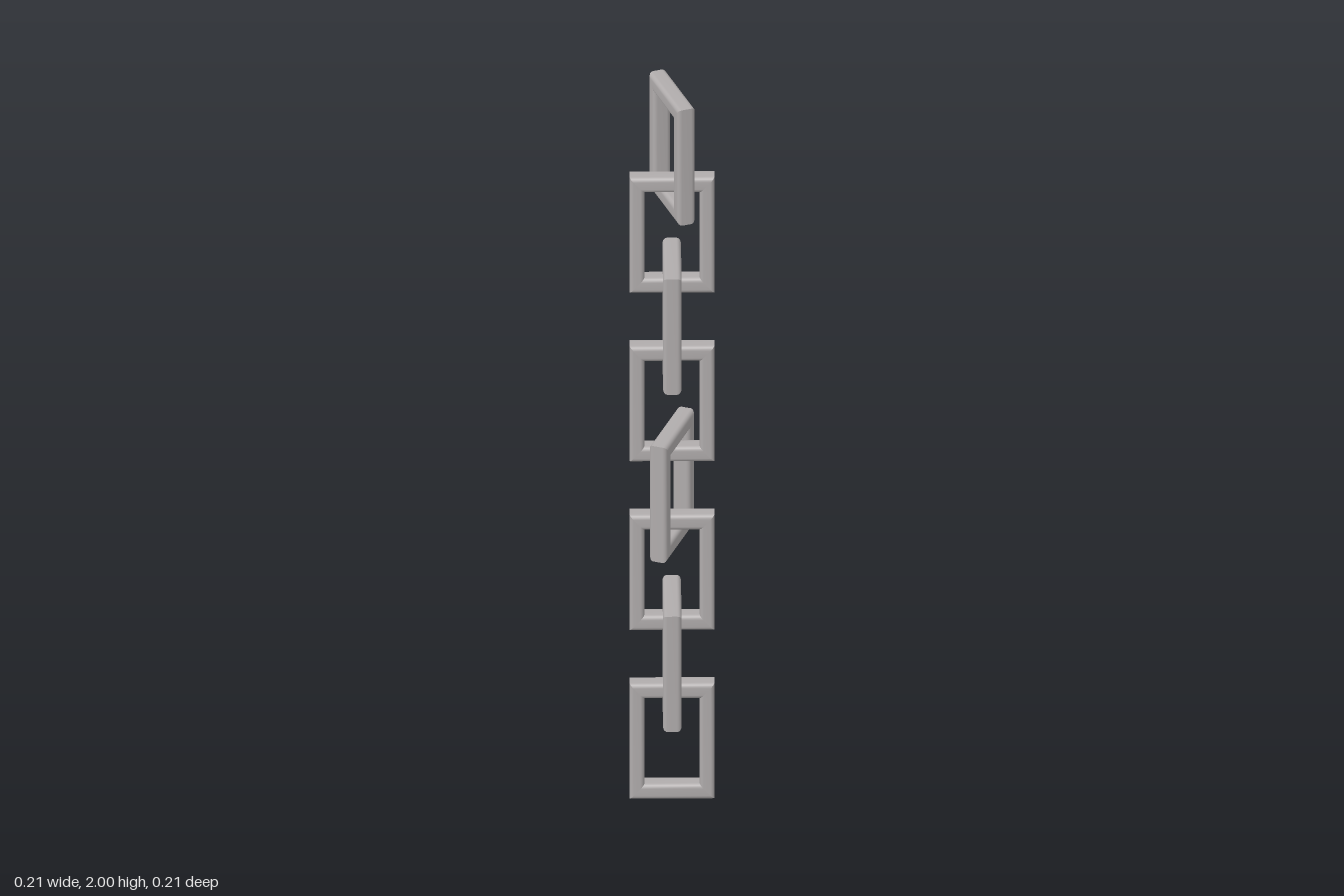
import * as THREE from 'three';

const LINKS = 8, PITCH = 0.239;
const OUTER = [0.105, 0.1635]; // half width and half height of a link
const INNER = [0.068, 0.121]; // half width and half height of its opening
const HALF_DEPTH = 0.023;

// Rounded bar section: u runs from the opening (0) to the outside (1), z is depth
function barSection() {
  const ru = 0.27, rz = 0.011, steps = 4, points = [];
  [[1, 1], [-1, 1], [-1, -1], [1, -1]].forEach(([su, sz], quarter) => {
    for (let i = 0; i <= steps; i++) {
      const a = (quarter + i / steps) * Math.PI / 2;
      points.push({
        u: 0.5 + su * (0.5 - ru) + ru * Math.cos(a),
        z: sz * (HALF_DEPTH - rz) + rz * Math.sin(a),
      });
    }
  });
  return points;
}

// Rectangular link: four bars meeting in crisp mitred corners
function linkGeometry() {
  const section = barSection(), n = section.length;
  const corners = [[-1, -1], [1, -1], [1, 1], [-1, 1]];
  const positions = [], indices = [];
  for (let bar = 0; bar < 4; bar++) {
    const base = positions.length / 3;
    for (const [sx, sy] of [corners[bar], corners[(bar + 1) % 4]]) {
      for (const { u, z } of section) {
        positions.push(
          sx * THREE.MathUtils.lerp(INNER[0], OUTER[0], u),
          sy * THREE.MathUtils.lerp(INNER[1], OUTER[1], u),
          z);
      }
    }
    for (let j = 0; j < n; j++) {
      const a = base + j, a1 = base + (j + 1) % n;
      indices.push(a, a + n, a1 + n, a, a1 + n, a1);
    }
  }
  const geometry = new THREE.BufferGeometry();
  geometry.setAttribute('position', new THREE.Float32BufferAttribute(positions, 3));
  geometry.setIndex(indices);
  geometry.computeVertexNormals();
  return geometry;
}

export function createModel() {
  const steel = new THREE.MeshStandardMaterial({ color: 0xb0acac });
  steel.name = 'steel grey';
  const geometry = linkGeometry();
  const chain = new THREE.Group();
  chain.name = 'chain';

  // Alternate links cross at right angles; two of them hang slightly twisted
  const twisted = { 3: -110, 7: -70 };
  for (let i = 0; i < LINKS; i++) {
    const link = new THREE.Mesh(geometry, steel);
    link.name = `chainLink${i + 1}`;
    link.position.y = OUTER[1] + i * PITCH;
    link.rotation.y = THREE.MathUtils.degToRad(twisted[i] ?? (i % 2 ? 90 : 0));
    chain.add(link);
  }
  return chain;
}
